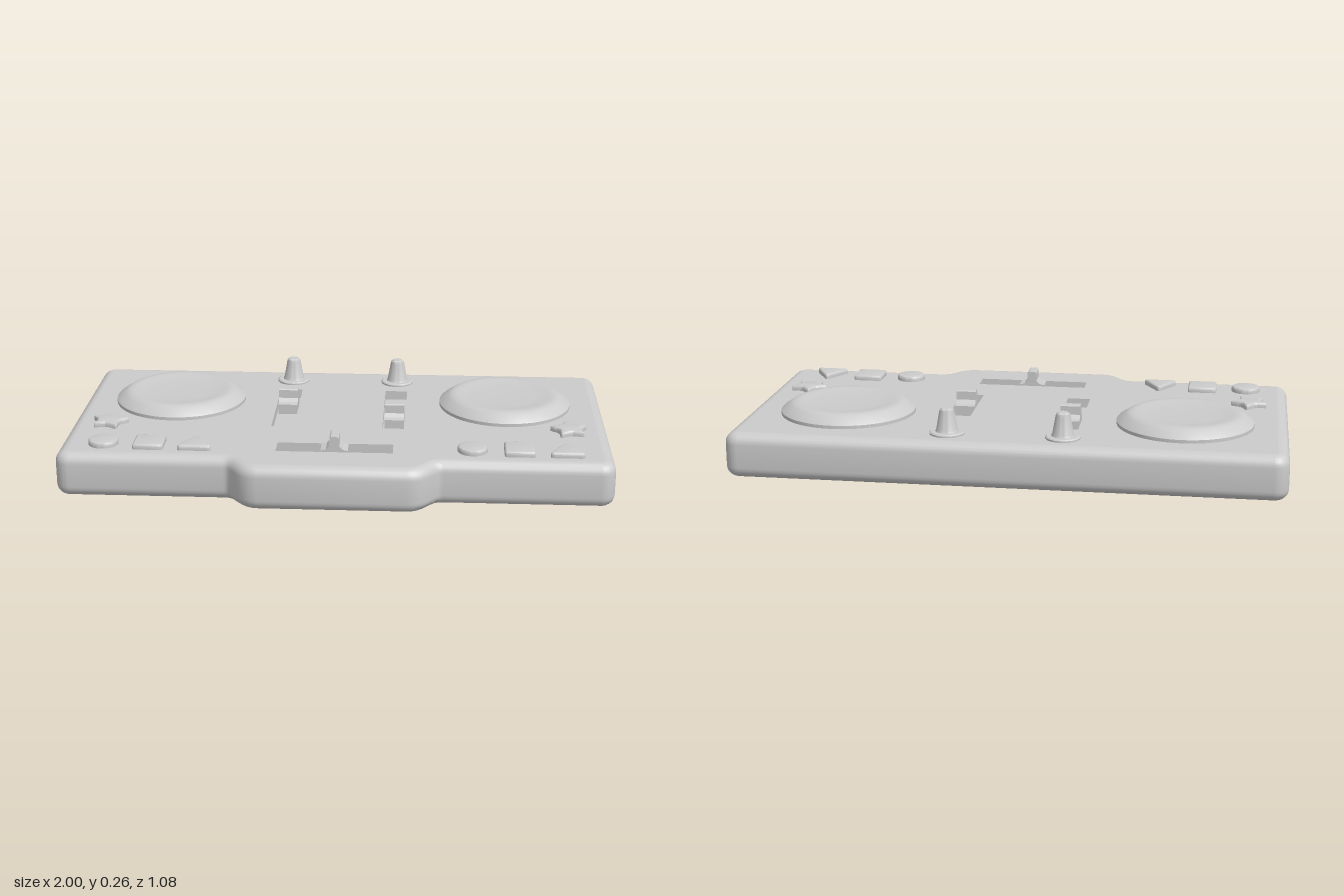
import * as THREE from 'three';
import { mergeVertices, toCreasedNormals } from 'three/addons/utils/BufferGeometryUtils.js';

const TOP = 0.165, EDGE = 0.04, SLOT_DEPTH = 0.035;
const grey = new THREE.MeshStandardMaterial({ color: 0xcccccc });
const inside = new THREE.MeshStandardMaterial({ color: 0xcccccc, side: THREE.BackSide });

// slots and their slider positions: centre, size, slider offset
const SLOTS = [
  { name: 'leftSlot', x: 0.207, z: -0.09, w: 0.085, d: 0.42, slide: 0.08 },
  { name: 'rightSlot', x: -0.207, z: -0.09, w: 0.085, d: 0.42, slide: -0.07 },
  { name: 'crossSlot', x: 0, z: 0.328, w: 0.42, d: 0.085, slide: 0 },
];

export function createModel() {
  const model = new THREE.Group();
  const add = (geometry, name, x = 0, y = 0, z = 0, material = grey, parent = model) => {
    const mesh = new THREE.Mesh(geometry, material);
    mesh.name = name;
    mesh.position.set(x, y, z);
    parent.add(mesh);
    return mesh;
  };
  const smooth = (g, crease = 0.6) => {
    g.deleteAttribute('normal');
    g.deleteAttribute('uv');
    return toCreasedNormals(mergeVertices(g, 1e-5), crease);
  };

  // body: rounded walls, underside, and a top with slot openings
  const outline = bodyOutline();
  const full = new THREE.ExtrudeGeometry(outline, {
    depth: TOP - 2 * EDGE, bevelSize: EDGE, bevelThickness: EDGE, bevelSegments: 6, curveSegments: 10,
  });
  const walls = new THREE.BufferGeometry();
  const wallPositions = full.attributes.position.array.slice(full.groups[1].start * 3);
  walls.setAttribute('position', new THREE.BufferAttribute(wallPositions, 3));
  walls.rotateX(-Math.PI / 2).translate(0, EDGE, 0);
  add(toCreasedNormals(mergeVertices(walls, 1e-5), 0.8), 'bodyWalls');
  const underside = new THREE.ShapeGeometry(outline, 10);
  add(underside.rotateX(-Math.PI / 2), 'underside', 0, 0, 0, inside);
  const topShape = bodyOutline();
  for (const s of SLOTS) topShape.holes.push(polygon([
    [s.x - s.w / 2, -s.z - s.d / 2], [s.x - s.w / 2, -s.z + s.d / 2],
    [s.x + s.w / 2, -s.z + s.d / 2], [s.x + s.w / 2, -s.z - s.d / 2],
  ]));
  add(new THREE.ShapeGeometry(topShape, 10).rotateX(-Math.PI / 2), 'topPanel', 0, TOP, 0);

  // recessed slots (boxes without lids) and ridged sliders
  const sliderShape = polygon([
    [-0.049, 0], [0.049, 0], [0.049, 0.038], [0.03, 0.042], [0.018, 0.055], [0.017, 0.086],
    [0.012, 0.09], [-0.012, 0.09], [-0.017, 0.086], [-0.018, 0.055], [-0.03, 0.042], [-0.049, 0.038],
  ]);
  for (const s of SLOTS) {
    const pocket = new THREE.BoxGeometry(s.w, SLOT_DEPTH, s.d);
    pocket.setIndex(Array.from(pocket.index.array).filter((_, i) => i < 12 || i >= 18));
    add(pocket, s.name, s.x, TOP - SLOT_DEPTH / 2, s.z, inside);
    const slider = new THREE.ExtrudeGeometry(sliderShape, { depth: 0.073, bevelEnabled: false });
    slider.translate(0, 0, -0.0365);
    const across = s.w > s.d;
    const mesh = add(slider, s.name.replace('Slot', 'Slider'),
      s.x + (across ? s.slide : 0), TOP - SLOT_DEPTH, s.z + (across ? 0 : s.slide));
    if (!across) mesh.rotation.y = Math.PI / 2;
  }

  // raised button with softened top edge
  const button = (shape, name, x, z) => {
    const g = new THREE.ExtrudeGeometry(shape, {
      depth: 0.022, bevelSize: 0.008, bevelThickness: 0.008, bevelOffset: -0.008,
      bevelSegments: 3, curveSegments: 24,
    });
    add(smooth(g.rotateX(-Math.PI / 2)), name, x, TOP - 0.01, z);
  };
  const disc = new THREE.Shape().absarc(0, 0, 0.054, 0, Math.PI * 2);
  const square = roundedPolygon([[-0.055, -0.055], [0.055, -0.055], [0.055, 0.055], [-0.055, 0.055]], 0.1);
  const triangle = roundedPolygon([[-0.067, -0.055], [0.067, -0.055], [0, 0.063]], 0.15);

  // jog wheel: wide low disc with sloped rim and a shallow dish
  const wheel = new THREE.LatheGeometry([
    [0.25, -0.005], [0.25, 0.012], [0.245, 0.017], [0.215, 0.037], [0.205, 0.042], [0.19, 0.044],
    [0.175, 0.043], [0.15, 0.039], [0.12, 0.037], [0, 0.036],
  ].map(p => new THREE.Vector2(...p)), 64);
  // knob: flat collar with a tapered stem
  const knob = new THREE.LatheGeometry([
    [0.063, -0.005], [0.063, 0.006], [0.058, 0.01], [0.042, 0.01], [0.038, 0.018], [0.027, 0.08],
    [0.024, 0.09], [0.017, 0.095], [0, 0.095],
  ].map(p => new THREE.Vector2(...p)), 32);
  const wheelGeo = smooth(wheel), knobGeo = smooth(knob);

  for (const [side, sign] of [['left', 1], ['right', -1]]) {
    add(wheelGeo, side + 'JogWheel', sign * 0.627, TOP, -0.17);
    add(knobGeo, side + 'Knob', sign * 0.208, TOP, -0.413);
    const middle = sign * 0.667;
    button(disc, side + 'RoundButton', middle - 0.172, 0.33);
    button(square, side + 'SquareButton', middle - 0.004, 0.33);
    button(triangle, side + 'TriangleButton', middle + 0.164, 0.33);
    button(star(-sign * 0.14), side + 'StarButton', sign * 0.856, 0.118);
  }
  return model;
}

function polygon(points) {
  return new THREE.Shape(points.map(p => new THREE.Vector2(...p)));
}

// polygon whose corners are cut back by a fraction of each side and curved
function roundedPolygon(points, cut) {
  const shape = new THREE.Shape(), n = points.length;
  const v = points.map(p => new THREE.Vector2(...p));
  v.forEach((corner, i) => {
    const a = corner.clone().lerp(v[(i + n - 1) % n], cut);
    const b = corner.clone().lerp(v[(i + 1) % n], cut);
    if (i === 0) shape.moveTo(a.x, a.y); else shape.lineTo(a.x, a.y);
    shape.quadraticCurveTo(corner.x, corner.y, b.x, b.y);
  });
  shape.closePath();
  return shape;
}

function star(turn) {
  const points = [];
  for (let i = 0; i < 10; i++) {
    const r = i % 2 ? 0.042 : 0.077, a = Math.PI / 2 - turn + i * Math.PI / 5;
    points.push([r * Math.cos(a), r * Math.sin(a)]);
  }
  // turn the mirrored pair in opposite directions
  return roundedPolygon(points, 0.28);
}

// plan of the body inside its rounded edge; y of the shape is -z
function bodyOutline() {
  const s = new THREE.Shape(), x = 1 - EDGE, back = 0.54 - EDGE, front = -0.45 + EDGE, lip = -0.54 + EDGE, r = 0.012;
  s.moveTo(-x + r, front);
  s.lineTo(-0.39, front);
  s.bezierCurveTo(-0.32, front, -0.32, lip, -0.26, lip);
  s.lineTo(0.26, lip);
  s.bezierCurveTo(0.32, lip, 0.32, front, 0.39, front);
  s.lineTo(x - r, front);
  s.absarc(x - r, front + r, r, -Math.PI / 2, 0);
  s.lineTo(x, back - r);
  s.absarc(x - r, back - r, r, 0, Math.PI / 2);
  s.lineTo(-x + r, back);
  s.absarc(-x + r, back - r, r, Math.PI / 2, Math.PI);
  s.lineTo(-x, front + r);
  s.absarc(-x + r, front + r, r, Math.PI, Math.PI * 1.5);
  return s;
}
